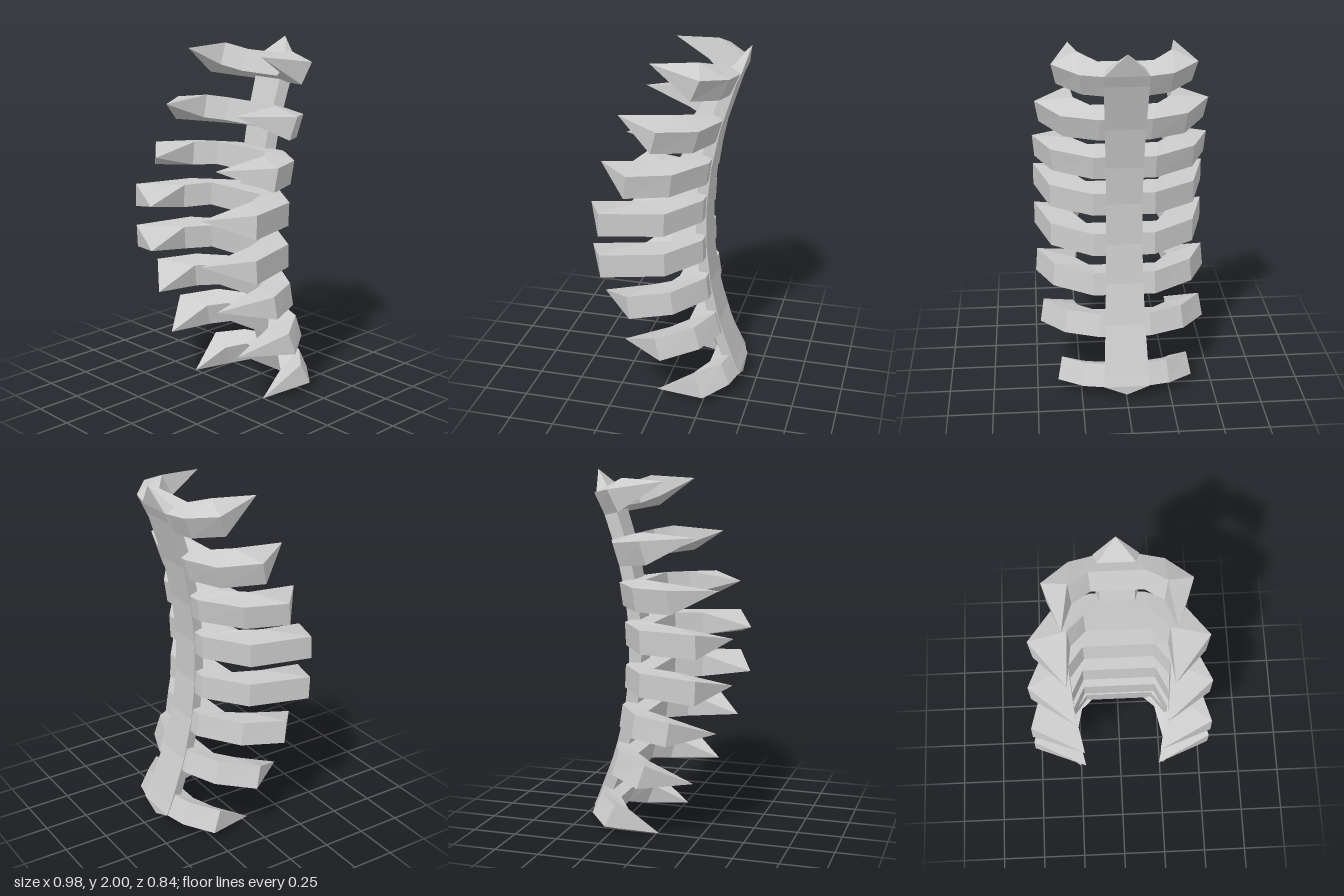
import * as THREE from 'three';

const material = new THREE.MeshStandardMaterial({ color: 0xcccccc, flatShading: true, side: THREE.DoubleSide });

// Joins four-cornered sections into a faceted solid, skipping collapsed triangles
function loft(name, sections) {
  const pos = [];
  const tri = (a, b, c) => {
    const area = b.clone().sub(a).cross(c.clone().sub(a)).length();
    if (area > 1e-7) for (const p of [a, b, c]) pos.push(p.x, p.y, p.z);
  };
  for (let k = 0; k < sections.length - 1; k++) {
    for (let j = 0; j < 4; j++) {
      const n = (j + 1) % 4;
      const a = sections[k][j], b = sections[k][n], c = sections[k + 1][n], d = sections[k + 1][j];
      tri(a, d, c);
      tri(a, c, b);
    }
  }
  const geometry = new THREE.BufferGeometry();
  geometry.setAttribute('position', new THREE.Float32BufferAttribute(pos, 3));
  geometry.computeVertexNormals();
  const mesh = new THREE.Mesh(geometry, material);
  mesh.name = name;
  return mesh;
}

// Half outlines [x, forward, sag], from the middle ribs to the end ribs
const outlines = [
  { back: [0.17, 0, 0], bend: [0.40, 0.16, 0.01], end: [0.49, 0.495, 0.02], tip: [0.205, 0.625, 0.02], in1: [0.20, 0.175, 0], in2: [0.27, 0.32, 0.01] },
  { back: [0.17, 0, 0], bend: [0.39, 0.15, 0.02], end: [0.485, 0.375, 0.045], tip: [0.24, 0.58, 0.035], in1: [0.19, 0.16, 0], in2: [0.27, 0.27, 0.015] },
  { back: [0.14, 0, 0], bend: [0.33, 0.08, 0.02], end: [0.462, 0.28, 0.05], tip: [0.275, 0.53, 0.05], in1: [0.175, 0.145, 0], in2: [0.26, 0.24, 0.01] },
  { back: [0.11, 0, 0], bend: [0.235, 0.035, 0.01], end: [0.37, 0.17, 0.04], tip: [0.285, 0.455, 0.055], in1: [0.14, 0.125, 0], in2: [0.24, 0.21, 0] },
];
const tilts = [2.5, 8, 16, 24];

// Middle of each rib's back: [y, z, half width of the spine]
const stations = [
  [0.14, -0.39, 0.105], [0.405, -0.29, 0.092], [0.637, -0.235, 0.085], [0.865, -0.207, 0.08],
  [1.105, -0.205, 0.08], [1.325, -0.228, 0.082], [1.555, -0.275, 0.088], [1.815, -0.357, 0.098],
];
const HALF = 0.065;

// Point in the tilted frame of one station
function place(s, x, up, forward, sag = 0) {
  const c = Math.cos(s.angle), n = Math.sin(s.angle);
  return new THREE.Vector3(x, s.y + up * c + forward * n - sag * s.side, s.z - up * n + forward * c);
}

function makeRib(s) {
  const o = outlines[s.level];
  const corner = (p, up, m) =>
    place(s, m * p[0] * (1 + 0.011 * s.level * s.side * Math.sign(up)), up, p[1], p[2]);
  const section = (outer, inner, m, h = HALF) =>
    [corner(outer, h, m), corner(inner, h, m), corner(inner, -h, m), corner(outer, -h, m)];
  const half = m => [
    section(o.tip, o.tip, m, 0),
    section(o.end, o.in2, m),
    section(o.bend, o.in2, m),
    section(o.back, o.in1, m),
  ];
  return loft('rib', [...half(1), ...half(-1).reverse()]);
}

// Curved spine, wider at the back, with a point at both ends
function makeSpine(list) {
  const section = (s, up) => [
    place(s, s.width + 0.02, up, -0.004), place(s, s.width, up, 0.062),
    place(s, -s.width, up, 0.062), place(s, -s.width - 0.02, up, -0.004),
  ];
  const apex = (y, z) => Array.from({ length: 4 }, () => new THREE.Vector3(0, y, z));
  const last = list.length - 1;
  return loft('spine', [
    apex(0.03, -0.42),
    section(list[0], -HALF),
    ...list.map(s => section(s, 0)),
    section(list[last], HALF + 0.002),
    apex(2, -0.42),
  ]);
}

export function createModel() {
  const group = new THREE.Group();
  group.name = 'ribCage';
  const list = stations.map(([y, z, width], i) => {
    const side = i < 4 ? -1 : 1;
    const level = i < 4 ? 3 - i : i - 4;
    return { y, z, width, side, level, angle: side * THREE.MathUtils.degToRad(tilts[level]) };
  });
  group.add(makeSpine(list));
  for (const s of list) group.add(makeRib(s));
  return group;
}
